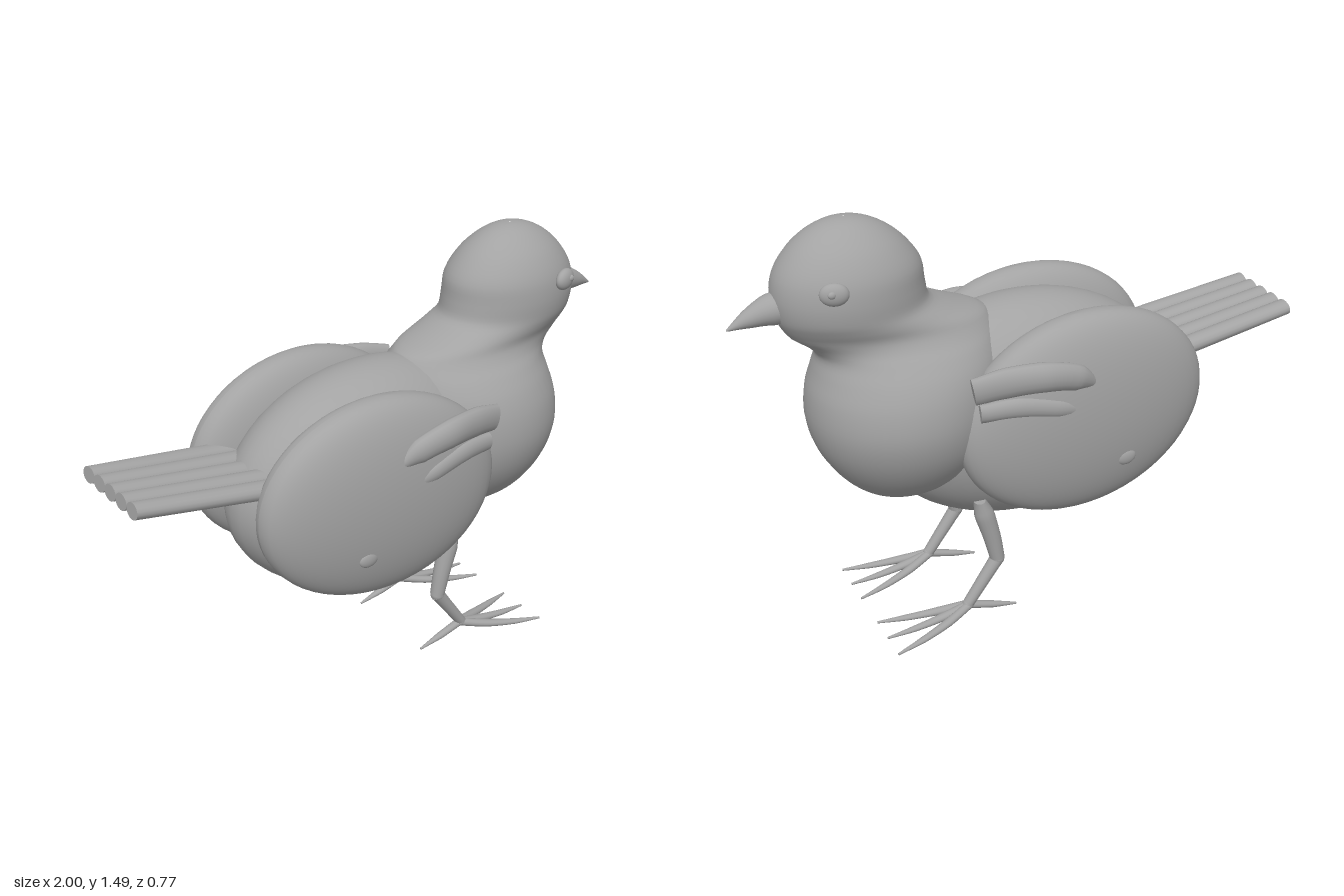
import * as THREE from 'three';

const V = (x, y, z) => new THREE.Vector3(x, y, z);

// Skin a list of closed rings (arrays of Vector3 of equal length)
function skin(rings) {
  const n = rings[0].length, pos = [], idx = [];
  rings.forEach(r => r.forEach(p => pos.push(p.x, p.y, p.z)));
  for (let i = 0; i < rings.length - 1; i++) {
    for (let j = 0; j < n; j++) {
      const a = i * n + j, b = i * n + (j + 1) % n;
      idx.push(a, a + n, b, b, a + n, b + n);
    }
  }
  const g = new THREE.BufferGeometry();
  g.setAttribute('position', new THREE.Float32BufferAttribute(pos, 3));
  g.setIndex(idx);
  g.computeVertexNormals();
  return g;
}

// Tapered tube: stations are [x, y, z, radius across the path, radius along z]
function taper(stations, steps = 16, sides = 16) {
  const curve = new THREE.CatmullRomCurve3(stations.map(s => V(s[0], s[1], s[2])));
  const rings = [];
  for (let i = 0; i <= steps; i++) {
    const t = i / steps, f = t * (stations.length - 1);
    const k = Math.min(Math.floor(f), stations.length - 2);
    const r = m => THREE.MathUtils.lerp(stations[k][m], stations[k + 1][m], f - k);
    const c = curve.getPoint(t), T = curve.getTangent(t);
    const S = V(0, 0, 1).addScaledVector(T, -T.z).normalize();
    const U = S.clone().cross(T);
    const ring = Array.from({ length: sides }, (_, j) => {
      const a = j / sides * Math.PI * 2;
      return c.clone().addScaledVector(S, Math.cos(a) * r(4)).addScaledVector(U, Math.sin(a) * r(3));
    });
    const cap = ring.map(() => c.clone());
    if (i === 0) rings.push(cap, ring);
    rings.push(ring);
    if (i === steps) rings.push(ring, cap);
  }
  return skin(rings);
}

// Chest, neck and head in one smooth skin: [y, back x, front x, half width]
function frontGeometry() {
  const rows = [
    [0.47, 0.43, 0.45, 0.005], [0.49, 0.33, 0.53, 0.08], [0.53, 0.25, 0.6, 0.15],
    [0.6, 0.17, 0.67, 0.225], [0.7, 0.11, 0.73, 0.285], [0.8, 0.09, 0.755, 0.31],
    [0.9, 0.08, 0.75, 0.303], [0.98, 0.08, 0.727, 0.275], [1.04, 0.09, 0.715, 0.235],
    [1.08, 0.1, 0.745, 0.2], [1.12, 0.13, 0.8, 0.182], [1.16, 0.24, 0.827, 0.187],
    [1.2, 0.325, 0.843, 0.192], [1.26, 0.342, 0.85, 0.195], [1.33, 0.352, 0.837, 0.186],
    [1.4, 0.4, 0.792, 0.152], [1.45, 0.458, 0.737, 0.107], [1.48, 0.515, 0.68, 0.064],
    [1.492, 0.56, 0.634, 0.03], [1.495, 0.594, 0.6, 0.002]];
  const path = m => new THREE.CatmullRomCurve3(rows.map(r => V(r[m], r[0], r[3])));
  const back = path(1), front = path(2), rings = [], steps = 76;
  for (let i = 0; i <= steps; i++) {
    const b = back.getPoint(i / steps), f = front.getPoint(i / steps);
    rings.push(Array.from({ length: 48 }, (_, j) => {
      const a = j / 48 * Math.PI * 2;
      return V((b.x + f.x) / 2 + Math.cos(a) * (f.x - b.x) / 2, (b.y + f.y) / 2, Math.sin(a) * f.z);
    }));
  }
  return skin(rings);
}

// Sphere with fuller, flatter sides
function wingGeometry() {
  const g = new THREE.SphereGeometry(1, 48, 32), p = g.attributes.position;
  for (let i = 0; i < p.count; i++) {
    const z = p.getZ(i);
    p.setZ(i, Math.sign(z) * Math.pow(Math.abs(z), 0.85));
  }
  g.scale(0.464, 0.36, 0.13);
  g.computeVertexNormals();
  return g;
}

export function createModel() {
  const bird = new THREE.Group();
  bird.name = 'bird';
  const grey = new THREE.MeshStandardMaterial({ color: 0xa3a3a3 });
  grey.name = 'plain grey';
  const add = (name, geometry, parent = bird) => {
    const m = new THREE.Mesh(geometry, grey);
    m.name = name;
    parent.add(m);
    return m;
  };
  const ball = (name, x, y, z, rx, ry, rz, parent) => {
    const m = add(name, new THREE.SphereGeometry(1, 40, 28), parent);
    m.position.set(x, y, z);
    m.scale.set(rx, ry, rz);
    return m;
  };

  // Trunk and head
  ball('body', -0.015, 0.725, 0, 0.56, 0.405, 0.285);
  add('chestAndHead', frontGeometry());
  add('beak', taper([[0.79, 1.228, 0, 0.058, 0.058], [0.86, 1.223, 0, 0.051, 0.051],
    [0.93, 1.204, 0, 0.03, 0.03], [0.998, 1.178, 0, 0.003, 0.003]], 16, 24));

  // Tail of five rods
  const tail = new THREE.Group();
  tail.name = 'tail';
  bird.add(tail);
  for (let i = -2; i <= 2; i++) {
    add('tailFeather', taper([[-0.34, 0.845, i * 0.08 - 0.006, 0.034, 0.042],
      [-0.996, 0.953, i * 0.07 - 0.006, 0.027, 0.036]], 4), tail);
  }

  for (const s of [1, -1]) {
    const side = s > 0 ? 'right' : 'left';

    // Eye with a small raised pupil
    const eye = ball(side + 'Eye', 0.7, 1.316, s * 0.183, 0.047, 0.038, 0.024);
    eye.rotation.y = s * 0.3;
    ball(side + 'Pupil', 0.712, 1.322, s * 0.2, 0.014, 0.012, 0.009);

    // Wing with two folded feathers
    const wing = new THREE.Group();
    wing.name = side + 'Wing';
    bird.add(wing);
    const panel = add('wingPanel', wingGeometry(), wing);
    panel.position.set(-0.138, 0.765, s * 0.23);
    panel.rotation.set(0, -s * 0.04, -0.1);
    add('upperFeather', taper([[-0.14, 0.905, s * 0.33, 0.01, 0.01],
      [-0.06, 0.95, s * 0.345, 0.045, 0.03], [0.06, 0.978, s * 0.35, 0.052, 0.034],
      [0.19, 0.972, s * 0.325, 0.054, 0.03], [0.296, 0.952, s * 0.305, 0.048, 0.022]], 24), wing);
    add('lowerFeather', taper([[-0.14, 0.81, s * 0.33, 0.014, 0.012],
      [0, 0.85, s * 0.338, 0.036, 0.026], [0.14, 0.875, s * 0.325, 0.038, 0.026],
      [0.272, 0.868, s * 0.303, 0.032, 0.02]], 20), wing);
    ball('wingBump', -0.255, 0.605, s * 0.333, 0.038, 0.03, 0.014, wing);

    // Leg, bent back at the knee
    const leg = new THREE.Group();
    leg.name = side + 'Leg';
    bird.add(leg);
    add('thigh', taper([[0.225, 0.47, s * 0.18, 0.02, 0.03], [0.208, 0.41, s * 0.182, 0.036, 0.035],
      [0.18, 0.31, s * 0.184, 0.031, 0.03], [0.162, 0.225, s * 0.185, 0.026, 0.026]]), leg);
    ball('knee', 0.163, 0.225, s * 0.185, 0.026, 0.026, 0.026, leg);
    add('shin', taper([[0.162, 0.225, s * 0.185, 0.026, 0.026],
      [0.275, 0.065, s * 0.185, 0.019, 0.021]], 6), leg);
    ball('ankle', 0.275, 0.063, s * 0.185, 0.021, 0.02, 0.021, leg);

    // Three front toes and one back toe
    for (const d of [-1, 0, 1]) {
      add('frontToe', taper([[0.265, 0.062, s * 0.185, 0.015, 0.016],
        [0.37, 0.035, s * 0.185 + d * 0.04, 0.014, 0.017],
        [0.48, 0.017, s * 0.185 + d * 0.075, 0.01, 0.013],
        [0.58, 0.008, s * 0.185 + d * 0.103, 0.004, 0.004]], 12, 12), leg);
    }
    add('backToe', taper([[0.28, 0.062, s * 0.185, 0.014, 0.016],
      [0.18, 0.034, s * 0.185, 0.012, 0.014], [0.09, 0.012, s * 0.185, 0.004, 0.004]], 8, 12), leg);
  }
  return bird;
}
